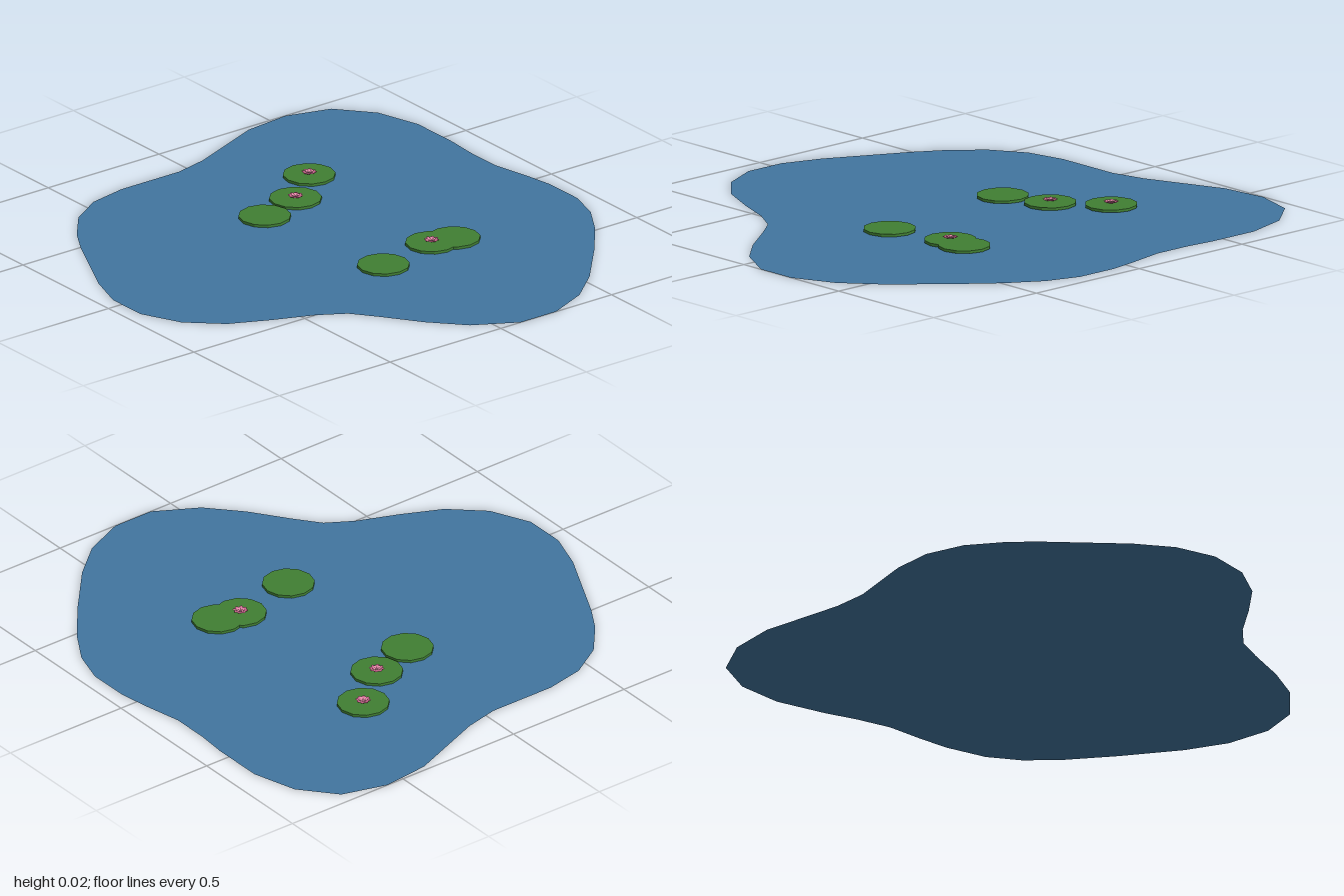
import * as THREE from 'three';

const mat = (color, extra = {}) => new THREE.MeshStandardMaterial({ color, ...extra });
const water = mat(0x42759f, { side: THREE.DoubleSide });
const leaf = mat(0x417f33, { flatShading: true });
const outerPink = mat(0xc8648c, { flatShading: true });
const innerPink = mat(0xe889aa, { flatShading: true });

// Shoreline as [x, z], clockwise seen from above
const shore = [
  [-1, -0.57], [-0.95, -0.74], [-0.82, -0.85], [-0.65, -0.9], [-0.45, -0.9], [-0.33, -0.89],
  [-0.19, -0.89], [-0.05, -0.92], [0.07, -0.94], [0.23, -0.94], [0.36, -0.9], [0.49, -0.82],
  [0.64, -0.7], [0.82, -0.54], [0.93, -0.41], [1, -0.25], [1, -0.09], [0.91, 0.07],
  [0.79, 0.18], [0.65, 0.28], [0.56, 0.35], [0.5, 0.45], [0.44, 0.6], [0.37, 0.75],
  [0.26, 0.87], [0.11, 0.94], [-0.05, 0.94], [-0.2, 0.89], [-0.36, 0.81], [-0.5, 0.74],
  [-0.6, 0.68], [-0.72, 0.58], [-0.8, 0.45], [-0.83, 0.3], [-0.83, 0.04], [-0.86, -0.09],
  [-0.92, -0.24], [-0.98, -0.39],
];

// Lily pads: x, z, whether a flower sits on top
const pads = [
  [-0.51, -0.3, true], [-0.37, -0.13, true], [-0.31, 0.055, false],
  [0.26, -0.36, false], [0.245, -0.27, true], [0.3, -0.01, false],
];
const PAD_RADIUS = 0.095;
const PAD_BOTTOM = 0.002;
const PAD_TOP = 0.012;

function createPond() {
  const shape = new THREE.Shape(shore.map(([x, z]) => new THREE.Vector2(x, -z)));
  const pond = new THREE.Mesh(new THREE.ShapeGeometry(shape).rotateX(-Math.PI / 2), water);
  pond.name = 'pondSurface';
  return pond;
}

// Ring of pointed petals leaning outwards
function petalRing(name, count, length, width, lean, y, material) {
  const ring = new THREE.Group();
  ring.name = name;
  const geometry = new THREE.SphereGeometry(0.5, 5, 4)
    .rotateZ(-Math.PI / 2)
    .scale(length, 0.004, width)
    .translate(length / 2, 0, 0)
    .rotateZ(lean);
  for (let i = 0; i < count; i++) {
    const petal = new THREE.Mesh(geometry, material);
    petal.name = 'petal';
    petal.position.y = y;
    petal.rotation.y = (i / count) * Math.PI * 2;
    ring.add(petal);
  }
  return ring;
}

function createFlower() {
  const flower = new THREE.Group();
  flower.name = 'flower';
  flower.add(
    petalRing('outerPetals', 8, 0.029, 0.019, 0.25, 0.002, outerPink),
    petalRing('innerPetals', 5, 0.019, 0.016, 0.35, 0.005, innerPink),
  );
  return flower;
}

export function createModel() {
  const model = new THREE.Group();
  model.name = 'lilyPond';
  model.add(createPond());

  const padGeometry = new THREE.CylinderGeometry(PAD_RADIUS, PAD_RADIUS, PAD_TOP - PAD_BOTTOM, 12);
  pads.forEach(([x, z, hasFlower]) => {
    const lily = new THREE.Group();
    lily.name = 'lily';
    lily.position.set(x, 0, z);
    const pad = new THREE.Mesh(padGeometry, leaf);
    pad.name = 'lilyPad';
    pad.position.y = (PAD_TOP + PAD_BOTTOM) / 2;
    lily.add(pad);
    if (hasFlower) {
      const flower = createFlower();
      flower.position.y = PAD_TOP;
      lily.add(flower);
    }
    model.add(lily);
  });
  return model;
}
